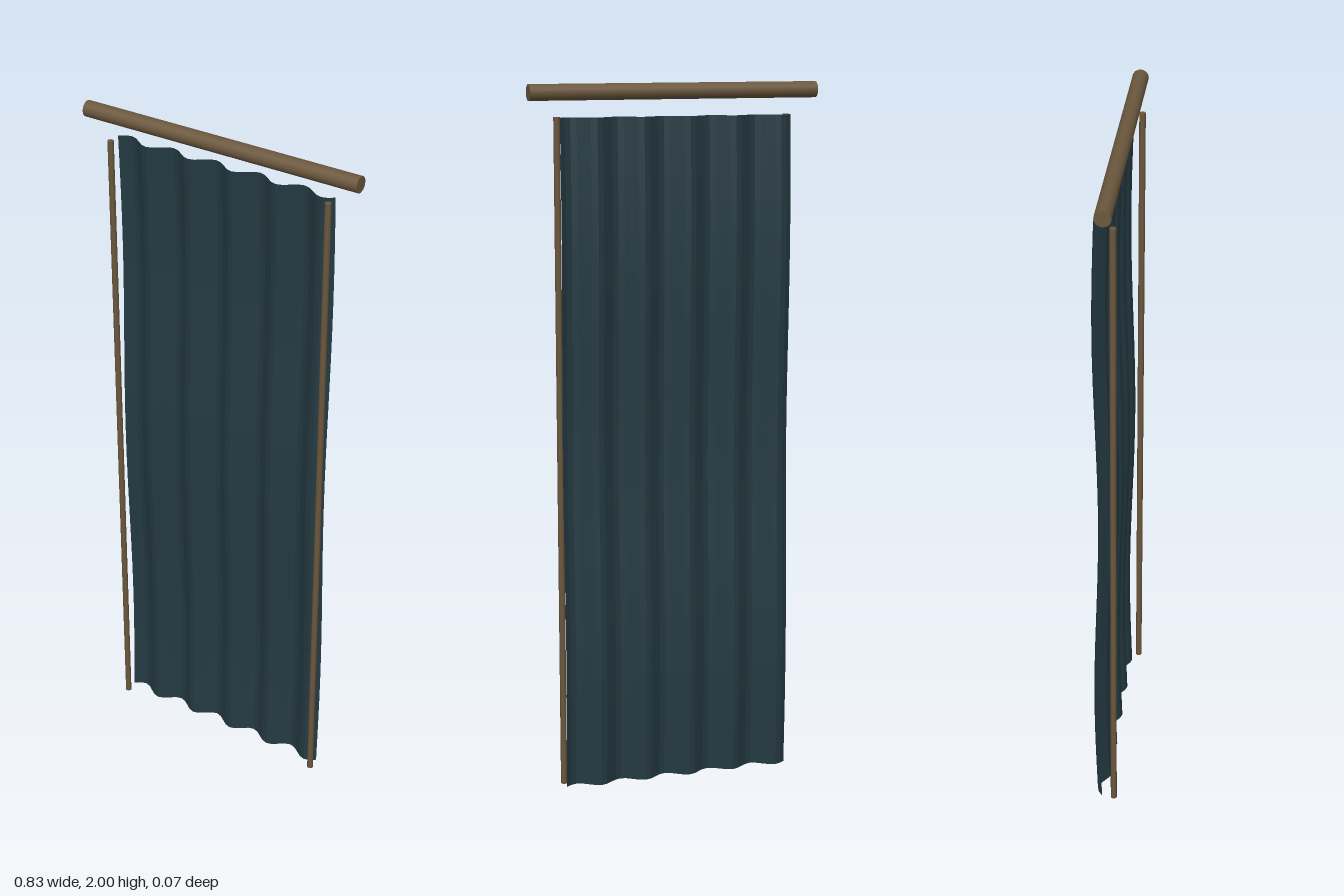
import * as THREE from 'three';

export function createModel() {
  const group = new THREE.Group();
  const wood = new THREE.MeshStandardMaterial({ name: 'brown wood', color: 0x6b573d });
  const cloth = new THREE.MeshStandardMaterial({
    name: 'dark teal cloth', color: 0x243a42, side: THREE.DoubleSide, flatShading: true,
  });

  // Round bar centred on a point
  function addBar(name, radius, length, x, y, z, sides) {
    const bar = new THREE.Mesh(new THREE.CylinderGeometry(radius, radius, length, sides), wood);
    bar.name = name;
    bar.position.set(x, y, z);
    group.add(bar);
    return bar;
  }

  // Hanging rod
  addBar('curtainRod', 0.0225, 0.834, 0, 1.9775, 0.01, 16).rotation.z = Math.PI / 2;

  // Slim edge poles in front of the cloth
  for (const side of [-1, 1]) {
    addBar(side > 0 ? 'leftEdgePole' : 'rightEdgePole', 0.009, 1.91, side * 0.334, 0.955, 0.025, 10);
  }

  // Pleated cloth: five folds across, gentle billow down its height
  const width = 0.67, height = 1.91, folds = 5;
  const geometry = new THREE.PlaneGeometry(width, height, 40, 24);
  geometry.translate(0, height / 2, 0);
  const p = geometry.attributes.position;
  for (let i = 0; i < p.count; i++) {
    const u = p.getX(i) / width + 0.5;
    const billow = -0.011 - 0.007 * Math.cos((2 * Math.PI * (p.getY(i) - 1.6)) / 1.25);
    p.setZ(i, billow - 0.017 * Math.sin(2 * Math.PI * folds * u));
  }
  geometry.computeVertexNormals();
  const curtain = new THREE.Mesh(geometry, cloth);
  curtain.name = 'curtainCloth';
  group.add(curtain);

  return group;
}
